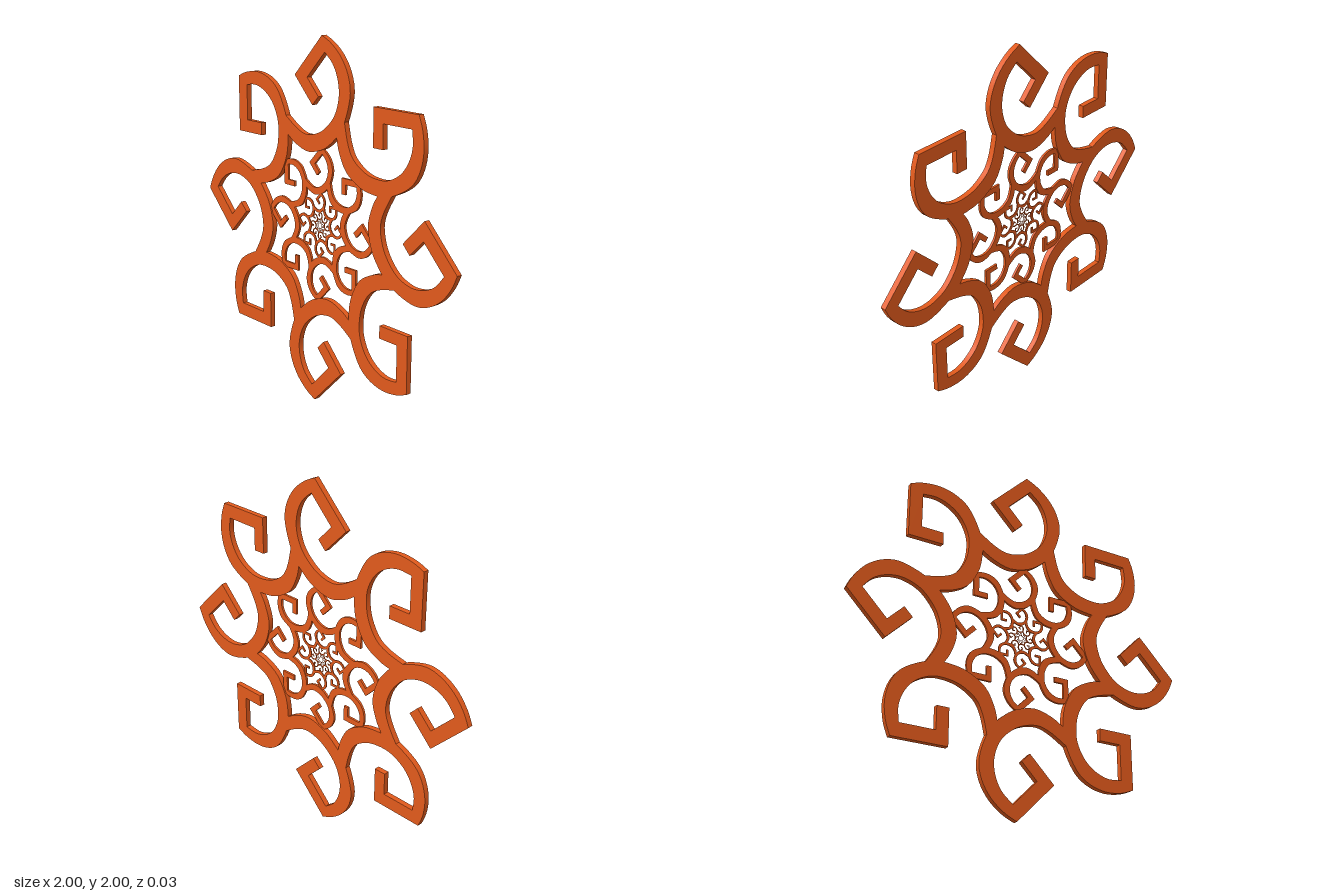
import * as THREE from 'three';
import { toCreasedNormals } from 'three/addons/utils/BufferGeometryUtils.js';

const DEPTH = 0.03, ARMS = 8, RINGS = 5, SHRINK = 0.425;

const toPoints = (list) => list.map(([x, y]) => new THREE.Vector2(x, y));

// Flat hook: a curved band that ends in a square stub, measured from the ring's centre
function hookGeometry() {
  const outerEdge = toPoints([
    [-0.687, 0.73], [-0.612, 0.757], [-0.516, 0.767], [-0.42, 0.746], [-0.34, 0.693],
    [-0.281, 0.596], [-0.251, 0.505], [-0.249, 0.42], [-0.268, 0.324], [-0.329, 0.222],
    [-0.42, 0.168], [-0.5, 0.147], [-0.57, 0.142],
  ]);
  const innerEdge = toPoints([
    [-0.586, 0.206], [-0.479, 0.233], [-0.404, 0.275], [-0.35, 0.361], [-0.332, 0.452],
    [-0.34, 0.532], [-0.382, 0.612], [-0.447, 0.666], [-0.527, 0.693], [-0.612, 0.687],
  ]);
  const stub = toPoints([[-0.612, 0.489], [-0.484, 0.489], [-0.484, 0.42], [-0.687, 0.42]]);
  const outline = [
    ...new THREE.SplineCurve(outerEdge).getPoints(48),
    ...new THREE.SplineCurve(innerEdge).getPoints(40),
    ...stub,
  ];
  const geometry = new THREE.ExtrudeGeometry(new THREE.Shape(outline), {
    depth: DEPTH, bevelEnabled: false,
  });
  geometry.translate(0, 0, -DEPTH / 2);
  return toCreasedNormals(geometry, 0.5);
}

export function createModel() {
  const model = new THREE.Group();
  model.name = 'spiralHookRosette';
  const material = new THREE.MeshStandardMaterial({ color: 0xe25a1c });
  const geometry = hookGeometry();

  // Nested rings of hooks, each a smaller copy of the one around it
  for (let r = 0; r < RINGS; r++) {
    const ring = new THREE.Group();
    ring.name = `hookRing${r + 1}`;
    ring.position.y = 1;
    ring.scale.setScalar(SHRINK ** r);
    for (let i = 0; i < ARMS; i++) {
      const hook = new THREE.Mesh(geometry, material);
      hook.name = `hook${i + 1}`;
      hook.rotation.z = (i / ARMS) * Math.PI * 2;
      ring.add(hook);
    }
    model.add(ring);
  }
  return model;
}
